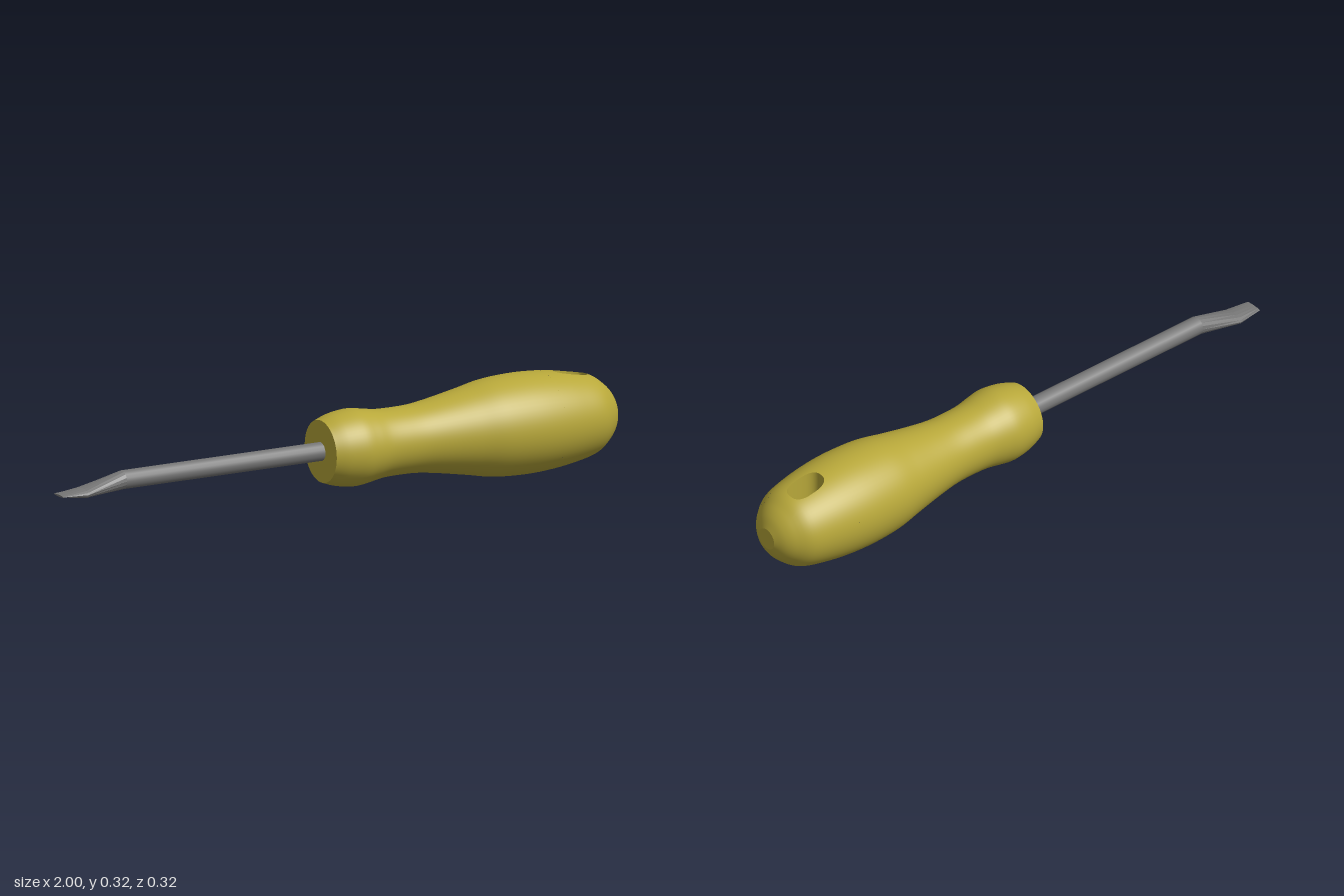
import * as THREE from 'three';

const CY = 0.163; // height of the tool's axis
const SEG = 64;

// Handle radius along x
const profile = new THREE.SplineCurve([
  [-0.055, 0.1], [-0.01, 0.115], [0.05, 0.123], [0.1, 0.117], [0.15, 0.109], [0.21, 0.107],
  [0.28, 0.109], [0.36, 0.12], [0.46, 0.138], [0.55, 0.155], [0.65, 0.161], [0.74, 0.158],
  [0.83, 0.147], [0.91, 0.129], [0.955, 0.1], [0.983, 0.07], [1, 0.036],
].map(([x, r]) => new THREE.Vector2(x, r))).getPoints(160);

function radius(x) {
  let i = 1;
  while (i < profile.length - 1 && profile[i].x < x) i++;
  const a = profile[i - 1], b = profile[i];
  return THREE.MathUtils.mapLinear(x, a.x, b.x, a.y, b.y);
}

// Surface from a rule point(u, v), u and v in 0..1; faces along dU x dV
function grid(nu, nv, point, normal) {
  const pos = [], nor = [], index = [];
  for (let j = 0; j <= nv; j++) {
    for (let i = 0; i <= nu; i++) {
      pos.push(...point(i / nu, j / nv));
      if (normal) nor.push(...normal(i / nu, j / nv));
      if (i < nu && j < nv) {
        const a = j * (nu + 1) + i, c = a + nu + 1;
        index.push(a, a + 1, c, a + 1, c + 1, c);
      }
    }
  }
  const g = new THREE.BufferGeometry();
  g.setAttribute('position', new THREE.Float32BufferAttribute(pos, 3));
  g.setIndex(index);
  if (normal) g.setAttribute('normal', new THREE.Float32BufferAttribute(nor, 3));
  else g.computeVertexNormals();
  return g;
}

// Piece of the handle skin; map(u, v) gives [x, angle from the top]
function skin(nu, nv, map) {
  return grid(nu, nv, (u, v) => {
    const [x, t] = map(u, v), r = radius(x);
    return [x, CY + r * Math.cos(t), r * Math.sin(t)];
  }, (u, v) => {
    const [x, t] = map(u, v), e = 0.006;
    const x0 = Math.max(x - e, -0.055), x1 = Math.min(x + e, 1);
    const slope = (radius(x1) - radius(x0)) / (x1 - x0);
    return new THREE.Vector3(-slope, Math.cos(t), Math.sin(t)).normalize().toArray();
  });
}

export function createModel() {
  const group = new THREE.Group();
  const yellow = new THREE.MeshStandardMaterial({ color: 0xb8a83a });
  const steel = new THREE.MeshStandardMaterial({ color: 0x777777 });
  const flatSteel = new THREE.MeshStandardMaterial({ color: 0x777777, flatShading: true });
  const add = (name, geometry, material, parent = group) => {
    const m = new THREE.Mesh(geometry, material);
    m.name = name;
    parent.add(m);
    return m;
  };

  // Handle: full rings at both ends, with a cut-out zone for the hanging hole
  const handle = new THREE.Group();
  handle.name = 'handle';
  group.add(handle);
  const xMid = 0.848, xHalf = 0.1, tHalf = 0.6, TAU = Math.PI * 2;
  const { lerp } = THREE.MathUtils;
  const band = (name, x0, x1, t0, t1, nu, nv) =>
    add(name, skin(nu, nv, (u, v) => [lerp(x0, x1, v), lerp(t0, t1, u)]), yellow, handle);
  band('grip', -0.055, xMid - xHalf, 0, TAU, SEG, 70);
  band('gripEnd', xMid + xHalf, 1, 0, TAU, SEG, 14);
  for (const base of [0, Math.PI]) {
    band('gripSide', xMid - xHalf, xMid + xHalf, base + tHalf, base + Math.PI - tHalf, 24, 16);
  }

  // Outline of the hole, a rounded slot
  const holeZ = -0.01;
  const power = (c) => Math.sign(c) * Math.abs(c) ** 0.75;
  const outline = (phi) => [xMid + 0.063 * power(Math.cos(phi)), 0.04 * power(Math.sin(phi))];

  // Skin around the hole, above and below
  for (const side of [1, -1]) {
    const patch = skin(SEG, 6, (u, v) => {
      const phi = u * TAU, c = Math.cos(phi), s = Math.sin(phi);
      const k = 1 / Math.max(Math.abs(c), Math.abs(s));
      const [hx, hz] = outline(phi);
      const ht = Math.asin((hz + side * holeZ) / radius(hx));
      const t = lerp(ht, tHalf * s * k, v);
      return [lerp(hx, xMid + xHalf * c * k, v), side > 0 ? t : Math.PI + t];
    });
    add('holeSurround', patch, yellow, handle);
  }

  // Inner wall of the hole
  add('holeWall', grid(SEG, 4, (u, v) => {
    const [x, dz] = outline(u * TAU), z = dz + holeZ;
    const y = Math.sqrt(radius(x) ** 2 - z * z);
    return [x, CY + lerp(-y, y, v), z];
  }), yellow, handle);

  // Flat faces at both ends of the handle
  for (const [x, r, dir] of [[-0.055, 0.1, -1], [1, 0.036, 1]]) {
    const face = add('handleFace', new THREE.CircleGeometry(r, SEG), yellow, handle);
    face.rotation.y = dir * Math.PI / 2;
    face.position.set(x, CY, 0);
  }

  // Round shaft
  const shaft = add('shaft', new THREE.CylinderGeometry(0.03, 0.03, 0.745, 16, 1, true), steel);
  shaft.rotation.z = Math.PI / 2;
  shaft.position.set(-0.4025, CY, 0);

  // Bent, flattened tip: x, y, z, half height, half width of each section
  const sections = [
    [-1, 0.138, -0.01, 0, 0],
    [-1, 0.138, -0.01, 0.003, 0.03],
    [-0.915, 0.137, -0.01, 0.016, 0.04],
    [-0.775, CY, 0, 0.03, 0.03],
  ];
  add('blade', grid(16, 3, (u, v) => {
    const [x, y, z, h, w] = sections[Math.round(v * 3)];
    return [x, y + h * Math.cos(u * TAU), z + w * Math.sin(u * TAU)];
  }), flatSteel);

  return group;
}
